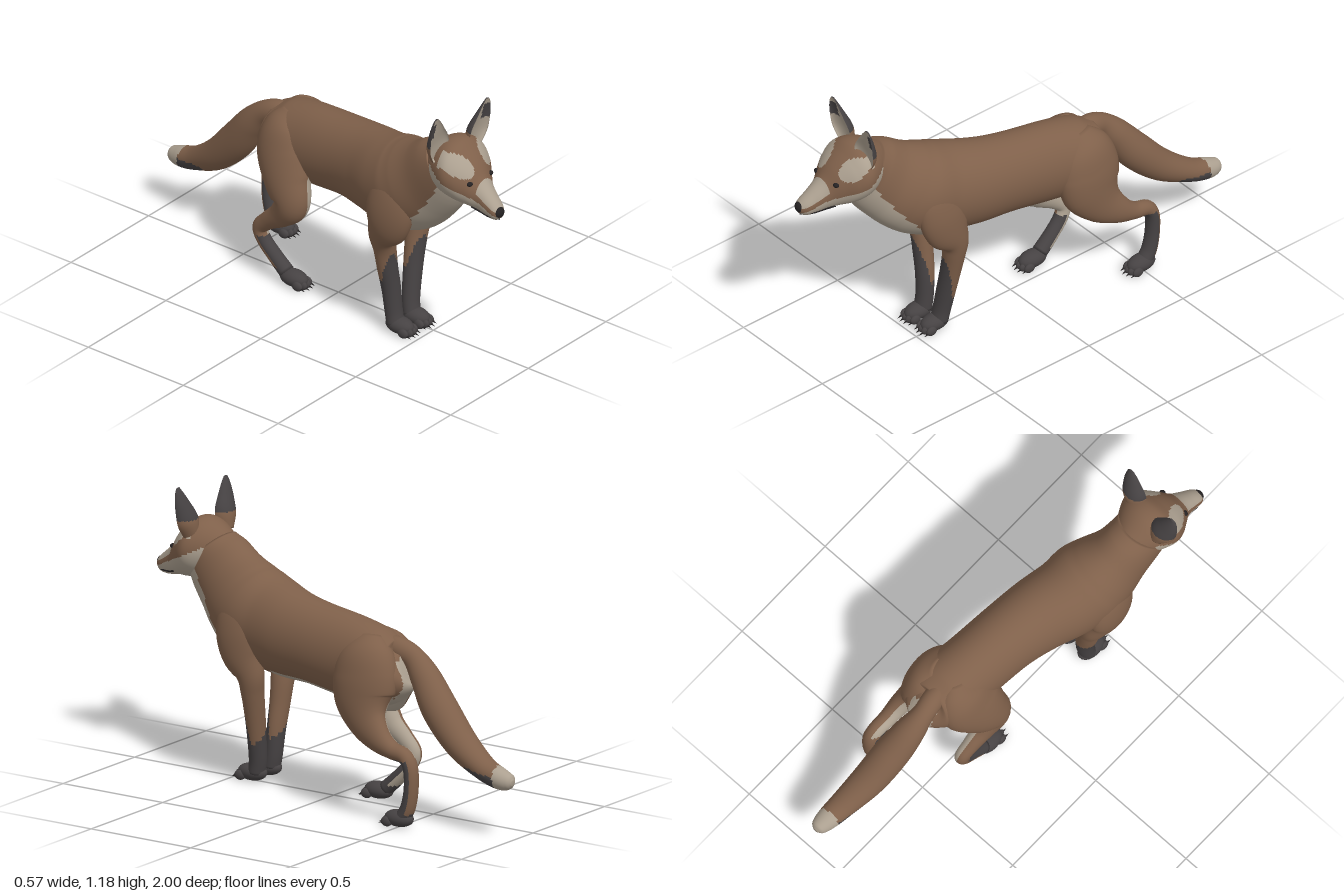
import * as THREE from 'three';

const mat = (name, color) => Object.assign(new THREE.MeshStandardMaterial({ color }), { name });

export function createModel() {
  const fox = new THREE.Group();
  fox.name = 'fox';
  const fur = mat('russet fur', 0x7f604a);
  const cream = mat('cream fur', 0xaca090);
  const dark = mat('dark fur', 0x464243);
  const black = mat('nose and eyes', 0x252223);
  const coat = [fur, cream, dark];
  const F = 0, C = 1, D = 2;

  // Smooth loft through rings [x, y, z, half width, half height];
  // rule(point, outward, v) picks the coat colour of each quad (v = -1..1 round the ring).
  function loft(name, rings, rule, { n = 56, m = 36, upright = false, bend = (s) => s } = {}) {
    const path = new THREE.CatmullRomCurve3(rings.map((r) => new THREE.Vector3(r[0], r[1], r[2])), false, 'catmullrom');
    const size = new THREE.CatmullRomCurve3(rings.map((r) => new THREE.Vector3(r[3], r[4], 0)), false, 'catmullrom');
    const pos = [], groups = [[], [], []], pts = [], dirs = [];
    for (let i = -1; i <= n + 1; i++) {
      const t = THREE.MathUtils.clamp(i / n, 0, 1);
      const c = path.getPoint(t), s = size.getPoint(t);
      const T = upright ? new THREE.Vector3(0, 0, 1) : path.getTangent(t);
      const S = new THREE.Vector3(1, 0, 0).addScaledVector(T, -T.x).normalize();
      const U = T.clone().cross(S);
      const k = i < 0 || i > n ? 0 : 1; // closed ends
      for (let j = 0; j < m; j++) {
        const a = (j / m) * Math.PI * 2, ca = Math.cos(a), sa = Math.sin(a);
        const p = c.clone()
          .addScaledVector(S, ca * Math.max(s.x, 0.002) * k)
          .addScaledVector(U, bend(sa) * Math.max(s.y, 0.002) * k);
        pts.push(p);
        dirs.push(S.clone().multiplyScalar(ca).addScaledVector(U, sa));
        pos.push(p.x, p.y, p.z);
      }
    }
    for (let i = 0; i < n + 2; i++) {
      for (let j = 0; j < m; j++) {
        const a = i * m + j, b = i * m + ((j + 1) % m), c = b + m, d = a + m;
        const mid = pts[a].clone().add(pts[c]).multiplyScalar(0.5);
        const v = Math.sin(((j + 0.5) / m) * Math.PI * 2);
        groups[rule(mid, dirs[a].clone().add(dirs[b]).normalize(), v)].push(a, b, c, a, c, d);
      }
    }
    const g = new THREE.BufferGeometry();
    g.setAttribute('position', new THREE.Float32BufferAttribute(pos, 3));
    g.setIndex(groups.flat());
    let start = 0;
    groups.forEach((list, k) => {
      if (list.length) g.addGroup(start, list.length, k);
      start += list.length;
    });
    g.computeVertexNormals();
    const mesh = new THREE.Mesh(g, coat);
    mesh.name = name;
    fox.add(mesh);
  }

  function ball(name, parent, material, p, scale) {
    const b = new THREE.Mesh(new THREE.SphereGeometry(1, 18, 12), material);
    b.name = name;
    b.position.set(...p);
    b.scale.set(...scale);
    parent.add(b);
  }

  // Torso and neck, rump to skull, with pale belly, chest and rump
  loft('torso', [
    [0.08, 0.63, -0.425, 0.04, 0.06], [0.08, 0.615, -0.39, 0.115, 0.12], [0.075, 0.605, -0.3, 0.145, 0.16],
    [0.055, 0.62, -0.15, 0.14, 0.175], [0.03, 0.642, 0.05, 0.142, 0.175], [0, 0.652, 0.2, 0.153, 0.187],
    [-0.04, 0.668, 0.33, 0.165, 0.197], [-0.06, 0.695, 0.43, 0.172, 0.2], [-0.08, 0.735, 0.505, 0.155, 0.19],
    [-0.1, 0.79, 0.58, 0.127, 0.17], [-0.115, 0.855, 0.65, 0.116, 0.152], [-0.12, 0.9, 0.695, 0.112, 0.125],
  ], (p, d, v) => {
    if (p.z < -0.4) return p.y < 0.66 && Math.abs(p.x - 0.075) < 0.06 ? C : F;
    if (p.z > 0.4) return v < -0.68 + Math.max(0, p.z - 0.5) * 1.6 ? C : F;
    return v < (p.z > 0.27 ? -0.93 : -0.8) ? C : F;
  }, { n: 110, m: 72 });

  // Head: [z, top, bottom, half width, x]
  loft('head', [
    [0.57, 0.95, 0.88, 0.03, -0.115], [0.62, 0.99, 0.82, 0.08, -0.12], [0.69, 1.034, 0.79, 0.122, -0.12],
    [0.75, 1.037, 0.782, 0.142, -0.121], [0.8, 1.003, 0.775, 0.126, -0.126], [0.845, 0.96, 0.77, 0.091, -0.135],
    [0.885, 0.907, 0.763, 0.06, -0.143], [0.93, 0.866, 0.755, 0.047, -0.152], [0.97, 0.833, 0.758, 0.037, -0.16],
    [0.992, 0.812, 0.775, 0.02, -0.164],
  ].map(([z, top, bot, w, x]) => [x, (top + bot) / 2, z, w, (top - bot) / 2]), (p, d) => {
    const dx = Math.abs(p.x + 0.125);
    if (p.z > 0.66 && p.y < 0.79 + (0.97 - p.z) * 0.48) return C;      // cheeks and chin
    if (p.z > 0.885 && d.y > 0.35) return C;                            // muzzle
    if (p.z > 0.72 && Math.hypot((dx - 0.083) / 0.046, (p.y - 0.965) / 0.046) < 1) return C; // brows
    return F;
  }, { n: 120, m: 84, upright: true });

  // Cupped ears, pale inside and dark behind
  for (const [side, name, z] of [[-1, 'rightEar', 0.715], [1, 'leftEar', 0.76]]) {
    loft(name, [
      [0.085, 0.97, -0.01, 0.04, 0.045], [0.1, 1.035, 0, 0.058, 0.05], [0.12, 1.1, 0.008, 0.044, 0.034],
      [0.132, 1.15, 0.013, 0.026, 0.018], [0.136, 1.178, 0.015, 0.01, 0.007],
    ].map(([x, y, dz, w, h]) => [-0.1225 + side * x, y, z + dz, w, h]), (p, d, v) => {
      if (v > 0) return p.y > 1.045 ? D : F;
      return p.y > 1.08 && p.y < 1.15 && side * (p.x + 0.1225) > 0.125 ? D : C;
    }, { n: 48, m: 40, bend: (s) => (s > 0 ? s : -0.45 * s) });
  }

  // Eyes, nose and mouth
  ball('rightEye', fox, black, [-0.203, 0.9, 0.858], [0.014, 0.01, 0.012]);
  ball('leftEye', fox, black, [-0.077, 0.9, 0.862], [0.014, 0.01, 0.012]);
  ball('nose', fox, black, [-0.165, 0.796, 0.98], [0.026, 0.025, 0.02]);
  for (const side of [-1, 1]) {
    const lip = new THREE.CatmullRomCurve3([[0.985, 0.766, 0.002, -0.163], [0.95, 0.775, 0.034, -0.156],
      [0.9, 0.779, 0.04, -0.146], [0.86, 0.792, 0.057, -0.138]]
      .map(([z, y, dx, x]) => new THREE.Vector3(x + side * dx, y, z)));
    const mouth = new THREE.Mesh(new THREE.TubeGeometry(lip, 16, 0.004, 6), black);
    mouth.name = side < 0 ? 'rightMouthLine' : 'leftMouthLine';
    fox.add(mouth);
  }

  // Bushy tail with a pale tip and dark patches on its sides
  loft('tail', [
    [0.068, 0.7, -0.29, 0.035, 0.04], [0.058, 0.691, -0.37, 0.046, 0.05], [0.052, 0.66, -0.44, 0.046, 0.05],
    [0.06, 0.59, -0.505, 0.062, 0.064], [0.078, 0.475, -0.59, 0.074, 0.077], [0.097, 0.355, -0.71, 0.071, 0.068],
    [0.12, 0.277, -0.84, 0.057, 0.05], [0.132, 0.248, -0.93, 0.047, 0.045], [0.136, 0.242, -0.98, 0.033, 0.033],
    [0.137, 0.24, -0.998, 0.012, 0.012],
  ], (p, d) => {
    if (p.z < -0.94 + p.y * 0.08) return C;
    return p.z < -0.77 && d.y > -0.85 && d.y < -0.35 + (-0.77 - p.z) * 4 ? D : F;
  }, { n: 72, m: 40 });

  // Front legs, rising into the shoulders, with dark stockings reaching higher in front
  const stocking = (p, d) => (p.y < 0.21 + 0.17 * Math.max(0, d.z) - 0.04 * d.x ? D : F);
  loft('leftFrontLeg', [
    [0.015, 0.81, 0.41, 0.03, 0.05], [0.045, 0.73, 0.42, 0.057, 0.105], [0.068, 0.64, 0.42, 0.06, 0.115],
    [0.078, 0.55, 0.4, 0.056, 0.102], [0.08, 0.47, 0.362, 0.049, 0.064], [0.07, 0.4, 0.358, 0.047, 0.05],
    [0.05, 0.3, 0.36, 0.045, 0.042], [0.03, 0.2, 0.365, 0.043, 0.038], [0.012, 0.1, 0.372, 0.04, 0.036],
    [0.005, 0.04, 0.382, 0.04, 0.036],
  ], stocking);
  loft('rightFrontLeg', [
    [-0.135, 0.81, 0.42, 0.03, 0.05], [-0.165, 0.73, 0.43, 0.057, 0.105], [-0.188, 0.64, 0.43, 0.06, 0.115],
    [-0.19, 0.55, 0.41, 0.056, 0.102], [-0.165, 0.47, 0.366, 0.049, 0.064], [-0.14, 0.4, 0.358, 0.046, 0.05],
    [-0.124, 0.3, 0.36, 0.045, 0.042], [-0.107, 0.2, 0.365, 0.043, 0.038], [-0.1, 0.1, 0.372, 0.04, 0.036],
    [-0.1, 0.04, 0.382, 0.04, 0.036],
  ], stocking);

  // Hind legs with broad haunches, the left stretched back and the right stepping forward
  loft('leftHindLeg', [
    [0.105, 0.74, -0.26, 0.04, 0.06], [0.137, 0.67, -0.27, 0.083, 0.125], [0.16, 0.58, -0.275, 0.088, 0.148],
    [0.178, 0.49, -0.28, 0.079, 0.137], [0.203, 0.41, -0.32, 0.058, 0.095], [0.225, 0.35, -0.39, 0.044, 0.06],
    [0.231, 0.315, -0.46, 0.037, 0.038], [0.235, 0.3, -0.525, 0.034, 0.033], [0.237, 0.255, -0.555, 0.034, 0.03],
    [0.236, 0.17, -0.558, 0.034, 0.029], [0.236, 0.09, -0.543, 0.034, 0.031], [0.236, 0.04, -0.515, 0.035, 0.032],
  ], (p, d) => {
    if (p.y < 0.285 && p.z < -0.47 && (d.z > -0.3 || p.y < 0.06)) return D;
    return d.x < -0.35 && p.y > 0.3 && p.y < 0.56 ? C : F;
  }, { n: 72 });
  loft('rightHindLeg', [
    [0.035, 0.74, -0.25, 0.04, 0.06], [0.005, 0.67, -0.26, 0.083, 0.12], [-0.03, 0.58, -0.25, 0.088, 0.14],
    [-0.068, 0.48, -0.21, 0.08, 0.115], [-0.09, 0.395, -0.175, 0.066, 0.083], [-0.09, 0.325, -0.225, 0.046, 0.056],
    [-0.085, 0.27, -0.295, 0.035, 0.04], [-0.08, 0.22, -0.345, 0.031, 0.034], [-0.076, 0.165, -0.33, 0.031, 0.031],
    [-0.072, 0.105, -0.275, 0.032, 0.031], [-0.07, 0.05, -0.215, 0.034, 0.032],
  ], (p, d) => {
    if (p.y < 0.19 && (d.z > 0 || p.y < 0.07)) return D;
    return d.x > 0 && p.y < 0.58 ? C : F;
  }, { n: 72 });

  // Paws with four toes and claws
  for (const [name, x, z] of [['leftFrontPaw', 0.003, 0.41], ['rightFrontPaw', -0.1, 0.41],
    ['leftHindPaw', 0.236, -0.493], ['rightHindPaw', -0.07, -0.172]]) {
    const paw = new THREE.Group();
    paw.name = name;
    paw.position.set(x, 0, z);
    fox.add(paw);
    ball('pad', paw, dark, [0, 0.036, -0.005], [0.043, 0.036, 0.068]);
    for (const k of [-1.5, -0.5, 0.5, 1.5]) {
      const reach = 0.05 - Math.abs(k) * 0.009;
      ball('toe', paw, dark, [k * 0.021, 0.022, reach], [0.014, 0.021, 0.026]);
      const claw = new THREE.Mesh(new THREE.ConeGeometry(0.005, 0.022, 6), black);
      claw.name = 'claw';
      claw.position.set(k * 0.022, 0.014, reach + 0.031);
      claw.rotation.x = Math.PI / 2 + 0.3;
      paw.add(claw);
    }
  }
  return fox;
}
